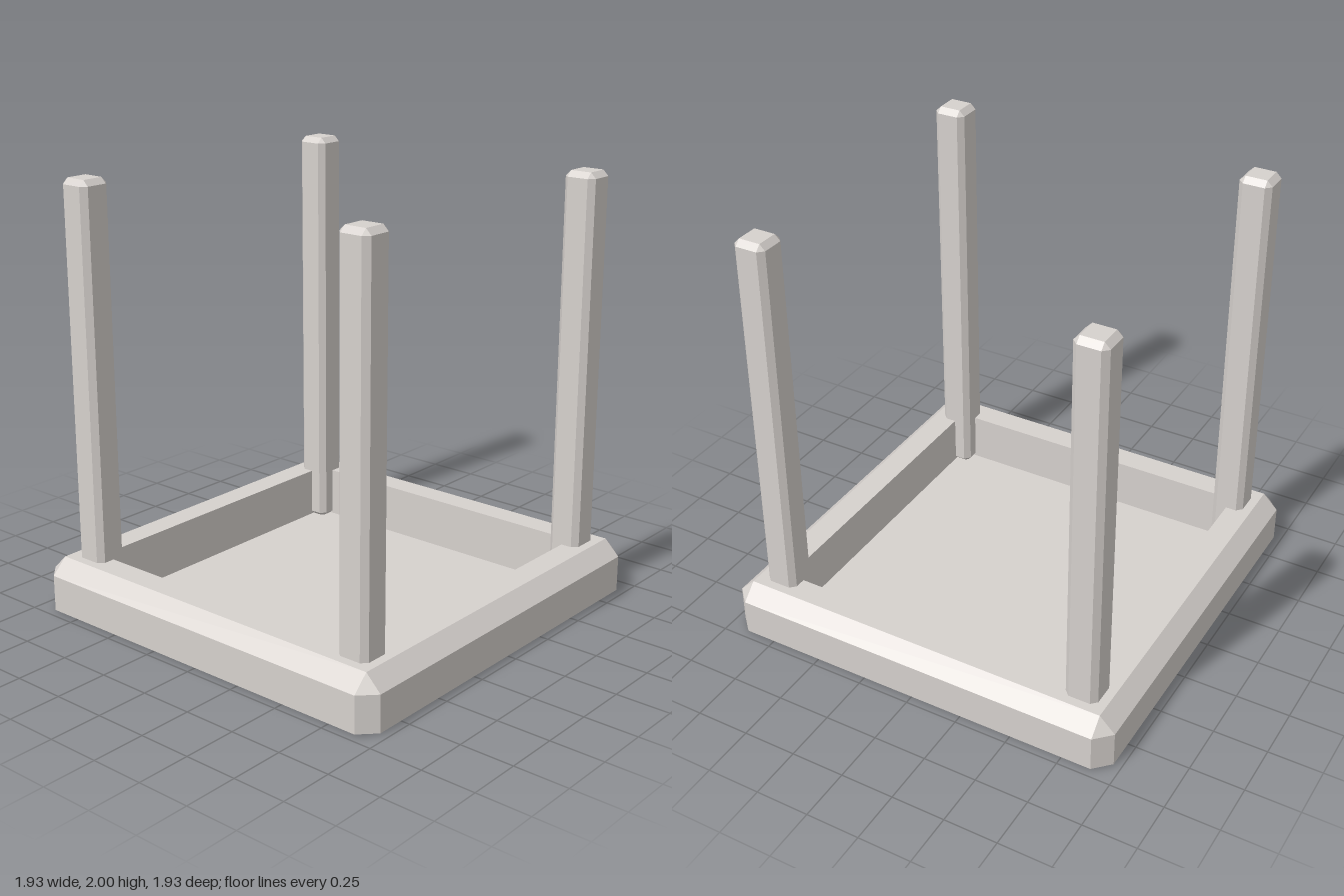
import * as THREE from 'three';

// Square ring with cut corners: 8 points at height y
function ring([y, half, cut]) {
  const points = [];
  let quarter = [[half, half - cut], [half - cut, half]];
  for (let k = 0; k < 4; k++) {
    for (const [x, z] of quarter) points.push(new THREE.Vector3(x, y, z));
    quarter = quarter.map(([x, z]) => [-z, x]);
  }
  return points;
}

// Joins [height, half width, corner cut] rings into a faceted surface
function loft(sections) {
  const rings = sections.map(ring);
  const positions = [];
  const triangle = (a, b, c) => {
    const area = b.clone().sub(a).cross(c.clone().sub(a)).length();
    if (area > 1e-8) for (const p of [a, b, c]) positions.push(p.x, p.y, p.z);
  };
  for (let r = 0; r < rings.length - 1; r++) {
    for (let i = 0; i < 8; i++) {
      const j = (i + 1) % 8;
      triangle(rings[r][i], rings[r + 1][i], rings[r][j]);
      triangle(rings[r][j], rings[r + 1][i], rings[r + 1][j]);
    }
  }
  const geometry = new THREE.BufferGeometry();
  geometry.setAttribute('position', new THREE.Float32BufferAttribute(positions, 3));
  geometry.computeVertexNormals();
  return geometry;
}

export function createModel() {
  const model = new THREE.Group();
  const paleGrey = new THREE.MeshStandardMaterial({ color: 0xd6d1cd });
  paleGrey.name = 'paleGrey';

  // Tray: underside, chamfered outer walls, rim, inner walls and floor
  const tray = new THREE.Mesh(loft([
    [0.007, 0, 0],
    [0.007, 0.965, 0.073],
    [0.177, 0.965, 0.073],
    [0.25, 0.892, 0],
    [0.25, 0.773, 0],
    [0.011, 0.773, 0],
    [0.011, 0, 0],
  ]), paleGrey);
  tray.name = 'tray';
  model.add(tray);

  // Four bevelled posts standing on the corners of the recess
  const postGeometry = loft([
    [0, 0, 0],
    [0, 0.051, 0],
    [0.026, 0.077, 0.026],
    [1.974, 0.077, 0.026],
    [2, 0.051, 0],
    [2, 0, 0],
  ]);
  for (const [z, end] of [[0.773, 'front'], [-0.773, 'back']]) {
    for (const [x, side] of [[0.773, 'Left'], [-0.773, 'Right']]) {
      const post = new THREE.Mesh(postGeometry, paleGrey);
      post.name = `${end}${side}Post`;
      post.position.set(x, 0, z);
      model.add(post);
    }
  }
  return model;
}
